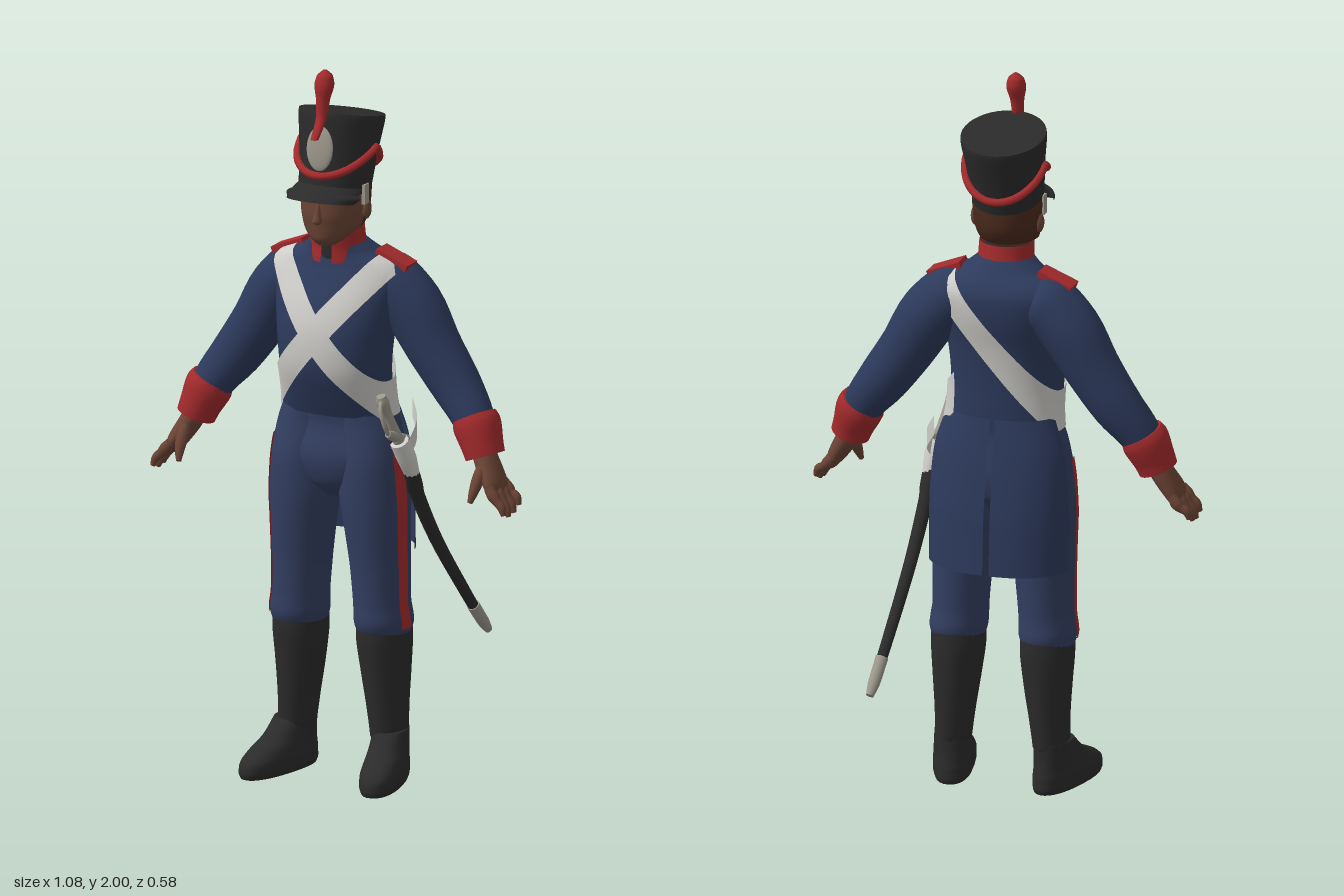
import * as THREE from 'three';

const mat = (name, color, side = THREE.FrontSide) => {
  const m = new THREE.MeshStandardMaterial({ color, side });
  m.name = name;
  return m;
};
const D = THREE.DoubleSide;
const V = (x, y, z) => new THREE.Vector3(x, y, z);
const UP = V(0, 1, 0), Z = V(0, 0, 1), PI = Math.PI;

// Grid of points f(u, v) turned into a smooth surface; wrap joins the last column to the first.
function surface(f, nu, nv, wrap, caps) {
  const pos = [], idx = [], cols = wrap ? nv : nv + 1;
  for (let i = 0; i <= nu; i++)
    for (let j = 0; j < cols; j++) pos.push(...f(i / nu, j / nv).toArray());
  for (let i = 0; i < nu; i++)
    for (let j = 0; j < nv; j++) {
      const a = i * cols + j, b = i * cols + (j + 1) % cols, c = a + cols, d = b + cols;
      idx.push(a, c, b, b, c, d);
    }
  if (caps) for (const end of [0, 1]) {
    const base = pos.length / 3, mid = V(0, 0, 0);
    for (let j = 0; j < nv; j++) {
      const p = f(end, j / nv);
      mid.addScaledVector(p, 1 / nv);
      pos.push(...p.toArray());
    }
    pos.push(...mid.toArray());
    for (let j = 0; j < nv; j++) {
      const a = base + j, b = base + (j + 1) % nv;
      idx.push(base + nv, end ? b : a, end ? a : b);
    }
  }
  const g = new THREE.BufferGeometry();
  g.setAttribute('position', new THREE.Float32BufferAttribute(pos, 3));
  g.setIndex(idx);
  g.computeVertexNormals();
  return g;
}

// Rows [x, y, z, rx, rz] give a point on a body surface; flat keeps the rings level, p < 1 squares them off.
function body(rows, flat = true, p = 1) {
  const c = new THREE.CatmullRomCurve3(rows.map(r => V(r[0], r[1], r[2])));
  const rad = new THREE.CatmullRomCurve3(rows.map(r => V(r[3], r[4], 0)));
  const pw = a => Math.sign(a) * Math.abs(a) ** p;
  return (t, th, off = 0) => {
    const dir = flat ? UP : c.getTangent(t), r = rad.getPoint(t);
    const u = dir.clone().cross(Z).normalize(), v = u.clone().cross(dir);
    return c.getPoint(t).addScaledVector(u, pw(Math.cos(th)) * (r.x + off))
      .addScaledVector(v, pw(Math.sin(th)) * (r.y + off));
  };
}
const solid = (b, nu = 24, nv = 28) => surface((u, v) => b(u, v * 2 * PI), nu, nv, true, true);
const patch = (b, t0, t1, a0, a1, off = 0, nu = 16, nv = 24) =>
  surface((u, v) => b(t0 + (t1 - t0) * u, a0 + (a1 - a0) * v, off), nu, nv, false, false);
const mirrorRows = (rows, s) => rows.map(r => [r[0] * s, ...r.slice(1)]);

export function createModel() {
  const model = new THREE.Group();
  const coat = mat('coat navy', 0x2d3a5c, D), trouser = mat('trouser blue', 0x333f61);
  const red = mat('trim red', 0xa32a2c, D), black = mat('hat and boot black', 0x2b2b2b, D);
  const skin = mat('skin brown', 0x6b4435), hair = mat('hair brown', 0x4a2a1c, D);
  const white = mat('belt white', 0xcdccc8, D), metal = mat('pale metal', 0x9d988c);
  const add = (name, geo, m, parent = model) => {
    const mesh = new THREE.Mesh(geo, m);
    mesh.name = name;
    parent.add(mesh);
    return mesh;
  };

  // Torso and hips
  const torso = body([
    [0, 1.03, .095, .162, .1], [0, 1.08, .105, .155, .112], [0, 1.17, .12, .155, .128],
    [0, 1.27, .115, .165, .132], [0, 1.35, .095, .18, .128], [0, 1.42, .075, .195, .111],
    [0, 1.455, .075, .17, .095], [0, 1.48, .085, .11, .08], [0, 1.51, .1, .072, .068]], true, .9);
  add('coatBody', solid(torso, 36, 40), coat);
  add('hips', solid(body([[0, .79, .09, .04, .05], [0, .84, .095, .13, .092], [0, .92, .097, .19, .103],
    [0, 1, .092, .178, .09], [0, 1.07, .095, .152, .098]])), trouser);

  // Coat tails, split at the back
  const tails = body([[0, 1.07, .095, .157, .106], [0, .96, .09, .192, .125],
    [0, .8, .09, .205, .15], [0, .64, .09, .205, .16]], true, .85);
  add('coatTailRight', patch(tails, 0, 1, PI + .25, 1.5 * PI - .025), coat);
  add('coatTailLeft', patch(tails, 0, 1, 1.5 * PI + .025, 2 * PI - .25), coat);

  // Cross belts that follow a slanting plane around the torso
  const belt = (slope, a0, a1, off) => surface((u, v) => {
    const th = a0 + (a1 - a0) * v, mid = 1.27 + (u - .5) * .115;
    let lo = 0, hi = 1;
    for (let k = 0; k < 24; k++) {
      const t = (lo + hi) / 2, q = torso(t, th, off);
      if (q.y < mid + slope * q.x) lo = t; else hi = t;
    }
    return torso(lo, th, off);
  }, 6, 90, false, false);
  add('leftShoulderBelt', belt(1.2, 0, 2 * PI, .006), white);
  add('rightShoulderBelt', belt(-1.2, -.8, PI, .01), white);

  // Collar and neck cloth
  const collar = body([[0, 1.455, .095, .088, .084], [0, 1.5, .103, .077, .073], [0, 1.55, .11, .075, .072]]);
  add('collar', patch(collar, 0, 1, PI / 2 + .2, 2.5 * PI - .2), red);
  add('neckCloth', solid(body([[0, 1.45, .1, .068, .066], [0, 1.535, .11, .062, .062]]), 4), black);

  // Head
  const head = body([[0, 1.51, .16, .028, .042], [0, 1.53, .152, .055, .066], [0, 1.56, .135, .078, .088],
    [0, 1.6, .128, .088, .1], [0, 1.65, .125, .092, .1], [0, 1.7, .125, .09, .098]]);
  add('head', solid(head), skin);
  add('nose', solid(body([[0, 1.577, .228, .006, .006], [0, 1.585, .228, .014, .018],
    [0, 1.605, .224, .01, .014], [0, 1.64, .218, .007, .008]]), 10, 12), skin);
  add('hair', patch(head, .36, .95, PI - .02, 2 * PI + .02, .006), hair);

  // Shako, leaning back
  const hat = new THREE.Group();
  hat.name = 'shako';
  hat.position.set(0, 1.655, .125);
  hat.rotation.x = -.21;
  model.add(hat);
  add('hatCrown', solid(body([[0, -.005, 0, .095, .104], [0, .05, 0, .1, .108], [0, .13, 0, .108, .115],
    [0, .2, 0, .117, .122], [0, .21, 0, .116, .121]]), 20, 40), black);
  hat.add(model.children.pop());
  hat.children[0].parent = hat;
  add('visor', patch(body([[0, .012, 0, .094, .1], [0, -.01, .035, .1, .1], [0, -.034, .062, .1, .1]]),
    0, 1, .15, PI - .15), black, hat);
  const cord = [];
  for (let i = 0; i < 48; i++) {
    const a = i / 48 * 2 * PI, s = Math.sin(a), y = .125 - (s > 0 ? .09 : .065) * Math.abs(s), r = .1 * y + .004;
    cord.push(V((.096 + r) * Math.cos(a), y, (.105 + r) * s));
  }
  add('hatCord', new THREE.TubeGeometry(new THREE.CatmullRomCurve3(cord, true), 96, .011, 8, true), red, hat);
  const plate = add('hatPlate', new THREE.SphereGeometry(1, 20, 14), metal, hat);
  plate.scale.set(.04, .062, .009);
  plate.position.set(0, .11, .114);
  plate.rotation.x = .09;
  add('plume', solid(body([[0, 1.82, .245, .011, .011], [0, 1.87, .205, .015, .015], [0, 1.92, .195, .019, .019],
    [0, 1.96, .187, .027, .027], [0, 1.985, .184, .022, .022], [0, 2, .183, .006, .006]]), 24, 16), red);

  for (const s of [1, -1]) {
    const side = s > 0 ? 'left' : 'right';
    const limb = (name, rows, m, flat = false, nu = 24, nv = 24) =>
      add(side + name, solid(body(mirrorRows(rows, s), flat), nu, nv), m);

    // Arm and cuff
    limb('Sleeve', [[.09, 1.42, .06, .06, .07], [.135, 1.395, .06, .083, .088], [.2, 1.33, .055, .085, .085],
      [.265, 1.225, .055, .077, .075], [.335, 1.125, .057, .07, .066], [.385, 1.06, .07, .06, .06],
      [.425, .99, .085, .05, .054]], coat);
    limb('Cuff', [[.397, 1.05, .073, .06, .063], [.408, 1.028, .077, .066, .067],
      [.43, .975, .087, .057, .06], [.44, .948, .09, .054, .057]], red, false, 10);

    // Hand
    limb('Palm', [[.425, .98, .088, .03, .035], [.455, .925, .1, .03, .045],
      [.482, .88, .112, .025, .052], [.497, .85, .118, .015, .045]], skin);
    for (let i = 0; i < 4; i++) {
      const z = .158 - .03 * i, drop = [.01, 0, .004, .018][i];
      limb('Finger' + (i + 1), [[.484, .88, z, .013, .013], [.508, .85, z + .002, .013, .013],
        [.526, .822 + drop, z + .004, .012, .012], [.534, .8 + drop, z + .006, .007, .007]], skin, false, 10, 10);
    }
    limb('Thumb', [[.45, .935, .12, .014, .016], [.45, .9, .152, .017, .018], [.447, .865, .176, .013, .013],
      [.443, .84, .188, .007, .007]], skin, false, 10, 10);

    // Leg with outer stripe
    const legRows = mirrorRows([[.128, .4, .08, .068, .075], [.127, .45, .083, .079, .093],
      [.123, .5, .085, .076, .09], [.118, .6, .086, .08, .093], [.112, .7, .09, .087, .1],
      [.105, .8, .094, .095, .104], [.1, .9, .097, .092, .102], [.085, 1, .093, .09, .09],
      [.07, 1.06, .093, .08, .09]], s);
    const leg = body(legRows);
    add(side + 'TrouserLeg', solid(leg, 32), trouser);
    add(side + 'Stripe', patch(leg, .08, .8, s > 0 ? .42 : PI, s > 0 ? 0 : PI - .42, .004, 24, 6), red);

    // Boot
    limb('BootShaft', [[.127, .435, .08, .073, .088], [.127, .4, .079, .074, .089], [.13, .3, .075, .065, .081],
      [.135, .2, .074, .054, .072], [.14, .12, .074, .049, .066], [.142, .05, .074, .049, .066]].reverse(), black, true);
    const foot = add(side + 'Foot', solid(body([[0, 0, .075, .05, .143], [0, .015, .075, .055, .148],
      [0, .04, .073, .056, .145], [0, .065, .058, .053, .126], [0, .095, .028, .05, .092], [0, .14, .003, .046, .067]],
      true, .85)), black);
    foot.position.set(s * .145, 0, .072);
    foot.rotation.y = s * .22;

    // Shoulder strap, ear and cheek scale
    const strap = add(side + 'Epaulette', new THREE.BoxGeometry(.1, .022, .062), red);
    strap.position.set(s * .157, 1.462, .072);
    strap.rotation.z = -s * .38;
    const ear = add(side + 'Ear', new THREE.SphereGeometry(1, 12, 10), skin);
    ear.scale.set(.012, .028, .018);
    ear.position.set(s * .092, 1.605, .115);
    const scale = add(side + 'CheekScale', new THREE.BoxGeometry(.01, .055, .026), metal);
    scale.position.set(s * .097, 1.652, .133);
  }

  // Sabre on the left hip
  const bar = (name, rows, m) => add(name, solid(body(rows, false), 20, 12), m);
  bar('scabbard', [[.2, .94, .11, .02, .02], [.21, .8, .048, .02, .02], [.222, .65, -.042, .018, .018],
    [.24, .48, -.168, .016, .016], [.248, .415, -.217, .015, .015]], black);
  bar('scabbardTip', [[.247, .425, -.21, .018, .018], [.253, .37, -.255, .017, .017],
    [.257, .338, -.282, .011, .011]], metal);
  bar('sabreGrip', [[.172, 1.105, .187, .013, .013], [.174, 1.085, .18, .018, .018],
    [.182, 1.04, .16, .013, .013], [.195, .965, .125, .016, .016]], metal);
  bar('sabreGuard', [[.2, 1.005, .2, .008, .01], [.193, .985, .15, .014, .014], [.2, .965, .085, .008, .01]], metal);
  add('knuckleBow', new THREE.TubeGeometry(new THREE.CatmullRomCurve3(
    [V(.173, 1.095, .185), V(.185, 1.075, .215), V(.198, 1.03, .215), V(.2, 1.0, .195)]), 16, .006, 8), metal);
  bar('scabbardFrog', [[.196, .965, .125, .026, .028], [.202, .92, .102, .028, .03],
    [.208, .86, .075, .022, .023]], white);
  const hanger = new THREE.CatmullRomCurve3([V(.2, .93, .09), V(.195, .98, .03), V(.165, 1.03, .0)]);
  add('beltHanger', surface((u, v) => hanger.getPoint(v).add(V(.006, (u - .5) * .055, 0)), 1, 12, false, false), white);

  return model;
}
